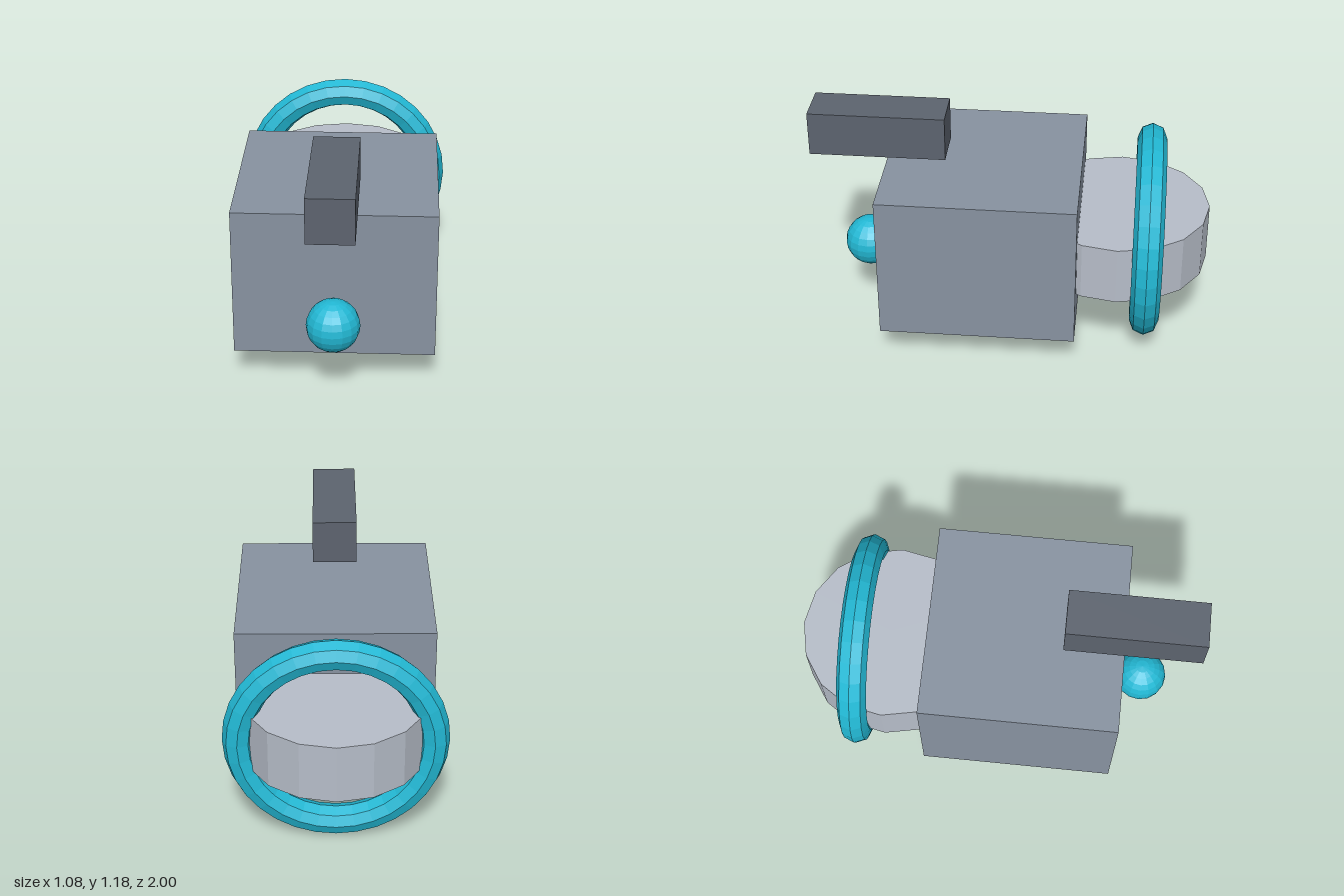
import * as THREE from 'three';

export function createModel() {
  const model = new THREE.Group();

  const add = (name, geometry, color, x, y, z) => {
    const material = new THREE.MeshStandardMaterial({ color, flatShading: true });
    const mesh = new THREE.Mesh(geometry, material);
    mesh.name = name;
    mesh.position.set(x, y, z);
    model.add(mesh);
    return mesh;
  };

  const teal = 0x22b8d4;

  // Main block
  add('body', new THREE.BoxGeometry(0.98, 0.75, 0.975), 0x8792a0, 0, 0.545, 0.133);

  // Bar floating above the front edge
  add('topBar', new THREE.BoxGeometry(0.225, 0.225, 0.68), 0x5c636e, 0, 1.073, 0.66);

  // Sixteen-sided drum, partly sunk into the back of the block
  add('rearDrum', new THREE.CylinderGeometry(0.45, 0.45, 0.3, 16), 0xb6bdc8, 0, 0.547, -0.55);

  // Upright ring around the drum
  add('rearRing', new THREE.TorusGeometry(0.467, 0.074, 8, 32), teal, 0, 0.543, -0.697);

  // Ball on the front face
  add('frontBall', new THREE.SphereGeometry(0.13, 16, 12), teal, 0, 0.395, 0.737);

  return model;
}
